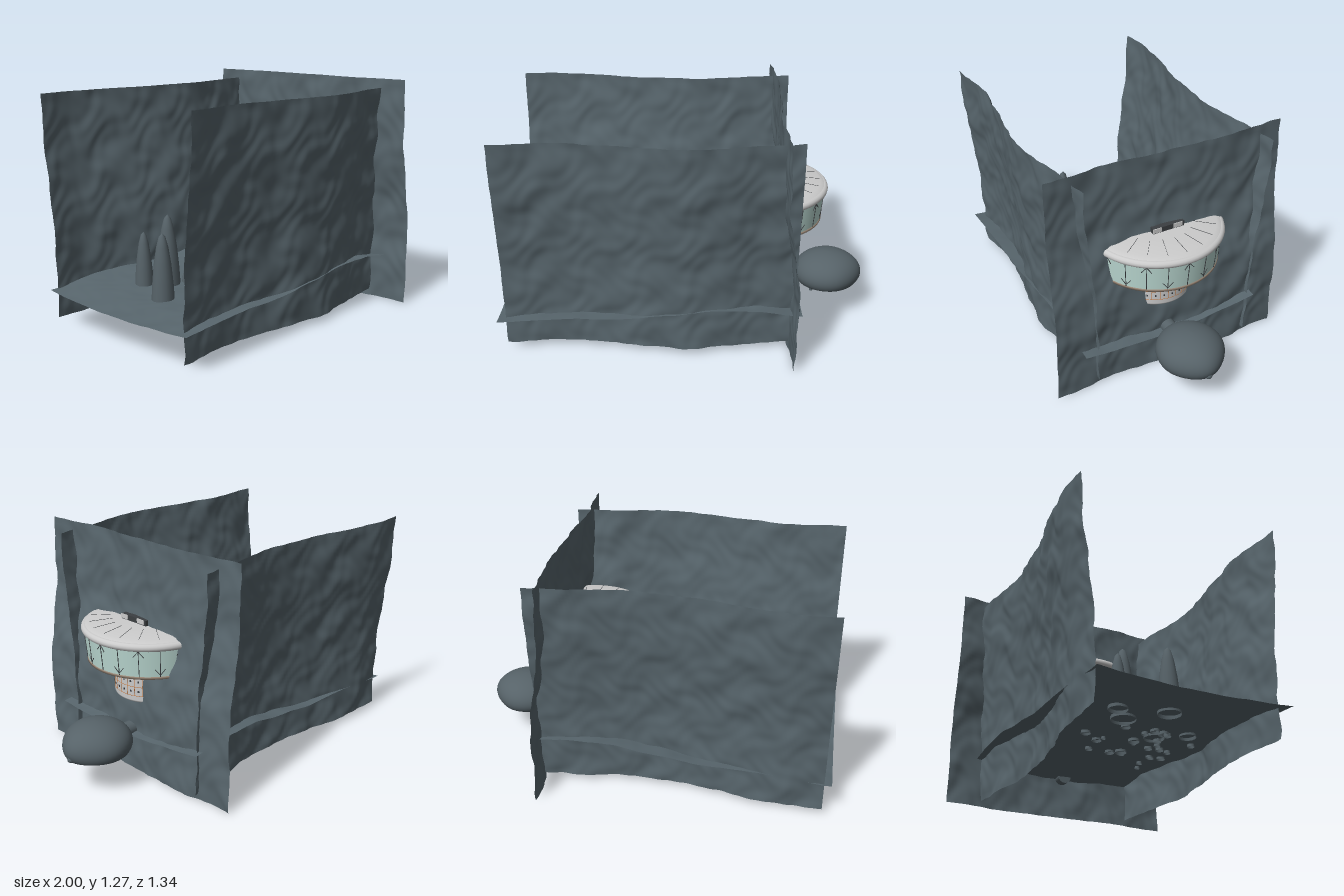
import * as THREE from 'three';

const mat = (color, extra = {}) => new THREE.MeshStandardMaterial({ color, ...extra });
const rock = mat(0x58666d, { side: THREE.DoubleSide });
const stone = mat(0x566268, { side: THREE.DoubleSide });
const grey = mat(0xcccccc, { side: THREE.DoubleSide });
const dark = mat(0x3c3f42);
const glass = mat(0xbcdad3, { side: THREE.DoubleSide });
const orange = mat(0xc8783c);

function add(parent, name, geo, material, x = 0, y = 0, z = 0) {
  const mesh = new THREE.Mesh(geo, material);
  mesh.name = name;
  mesh.position.set(x, y, z);
  parent.add(mesh);
  return mesh;
}

// Smooth interpolation through evenly spaced values, t in 0..1
function ramp(values, t) {
  const f = Math.min(Math.max(t, 0), 1) * (values.length - 1);
  const i = Math.min(Math.floor(f), values.length - 2);
  const k = f - i, s = k * k * (3 - 2 * k);
  return values[i] + (values[i + 1] - values[i]) * (0.5 * k + 0.5 * s);
}

// Rocky unevenness
const rough = (a, b) => 0.004 * (Math.sin(a * 21 + 2 * Math.sin(b * 13)) * Math.cos(b * 17 + Math.sin(a * 11)) + Math.sin(b * 25 + 2 * Math.sin(a * 15)))
  + 0.003 * Math.sin(a * 43 + 2 * Math.sin(b * 19)) * Math.sin(b * 47 + 2 * Math.sin(a * 23));

// Sheet of rock: place(u, v) gives a point for u, v in 0..1
function sheet(parent, name, place) {
  const geo = new THREE.PlaneGeometry(1, 1, 90, 70);
  const p = geo.attributes.position;
  for (let i = 0; i < p.count; i++) p.setXYZ(i, ...place(p.getX(i) + 0.5, p.getY(i) + 0.5));
  geo.computeVertexNormals();
  add(parent, name, geo, rock);
}

const floorY = (x, z) => ramp([0.195, 0.215, 0.225, 0.225, 0.25, 0.28, 0.28, 0.25], (x + 1) / 1.62)
  - 0.025 * Math.cos(z * 3) + (z < 0 ? -0.06 * z * (x + 1) / 1.62 : 0);

function canyon(g) {
  const lean = [0, 0.1, 0.2, 0.5, 0.85, 1];
  sheet(g, 'frontWall', (u, v) => [-0.96 + 1.55 * u, 0.035 + 1.185 * v,
    ramp([0.465, 0.445, 0.44, 0.46, 0.5, 0.515, 0.495, 0.45, 0.435], u) + 0.075 * ramp(lean, v) + rough(u * 1.5, v)]);
  sheet(g, 'backWall', (u, v) => [-0.96 + 1.55 * u, 0.035 + 1.185 * v,
    -ramp([0.49, 0.505, 0.48, 0.445, 0.415, 0.405, 0.42, 0.45, 0.475], u) - 0.083 * ramp(lean, v) + rough(u * 1.5 + 2, v)]);
  sheet(g, 'endWall', (u, v) => [
    ramp([0.567, 0.57, 0.575, 0.568, 0.532, 0.505, 0.5, 0.5], v) + 0.012 * Math.sin(u * 8 + 2.5) + rough(u * 1.3 + 5, v),
    1.27 * v, 0.67 - 1.34 * u]);
  sheet(g, 'floor', (u, v) => {
    const x = -1 + 1.62 * u, z = -0.505 + 1.03 * v;
    return [x, floorY(x, z) + 0.3 * rough(u * 1.6 + 1, v), z];
  });
}

// Round observation deck set into the end wall
function deck(g) {
  const d = new THREE.Group();
  d.name = 'observationDeck';
  d.position.set(0.41, 0, 0.02);
  g.add(d);
  const lathe = (name, pts, m) => add(d, name, new THREE.LatheGeometry(pts.map(p => new THREE.Vector2(...p)), 64), m);
  lathe('roof', [[0.35, 0.805], [0.32, 0.82], [0.2, 0.83], [0.001, 0.836]], grey);
  const rim = add(d, 'roofRim', new THREE.TorusGeometry(0.344, 0.021, 12, 64), grey, 0, 0.787, 0);
  rim.rotation.x = Math.PI / 2;
  lathe('windowBand', [[0.335, 0.625], [0.349, 0.775]], glass);
  lathe('sill', [[0.325, 0.612], [0.338, 0.614], [0.338, 0.627], [0.325, 0.627]], mat(0x9a8878, { side: THREE.DoubleSide }));
  lathe('underside', [[0.19, 0.582], [0.33, 0.614]], mat(0x808080, { side: THREE.DoubleSide }));
  lathe('stem', [[0.001, 0.415], [0.195, 0.42], [0.2, 0.43], [0.2, 0.585]], grey);

  // Window bars with alternating arrow heads, and roof seams
  for (let i = 0; i < 20; i++) {
    const spoke = new THREE.Group();
    spoke.name = 'windowBay';
    spoke.rotation.y = i * Math.PI / 10;
    d.add(spoke);
    const bar = add(spoke, 'windowBar', new THREE.BoxGeometry(0.003, 0.15, 0.003), dark, 0.343, 0.7, 0);
    bar.rotation.z = -0.093;
    const up = i % 2 === 0;
    for (const s of [-1, 1]) {
      const strut = add(spoke, 'barStrut', new THREE.BoxGeometry(0.003, 0.042, 0.003), dark,
        up ? 0.348 : 0.338, up ? 0.752 : 0.652, s * 0.013);
      strut.rotation.x = s * (up ? -0.7 : 0.7);
    }
    const seam = add(spoke, 'roofSeam', new THREE.BoxGeometry(0.12, 0.0015, 0.0015), dark, 0.26, 0.826, 0);
    seam.rotation.z = -0.083;
  }

  // Stem grid and portholes
  for (const y of [0.455, 0.505, 0.575]) {
    const band = add(d, 'stemBand', new THREE.TorusGeometry(0.2, 0.0015, 4, 48), orange, 0, y, 0);
    band.rotation.x = Math.PI / 2;
  }
  for (let i = 0; i < 28; i++) {
    const a = i * Math.PI / 14, b = a + Math.PI / 28;
    add(d, 'stemRib', new THREE.BoxGeometry(0.0025, 0.12, 0.0025), orange, 0.2 * Math.cos(b), 0.515, -0.2 * Math.sin(b)).rotation.y = b;
    for (const y of [0.48, 0.535]) {
      const port = add(d, 'porthole', new THREE.BoxGeometry(0.004, 0.01, 0.008), dark, 0.2 * Math.cos(a), y, -0.2 * Math.sin(a));
      port.rotation.y = a;
    }
  }

  // Rooftop hatch: dark frame with light end blocks and a light centre
  add(d, 'hatchBase', new THREE.BoxGeometry(0.27, 0.03, 0.18), dark, -0.005, 0.845, -0.01);
  for (const z of [0.058, -0.062])
    add(d, 'hatchEnd', new THREE.BoxGeometry(0.004, 0.024, 0.05), grey, 0.131, 0.848, z);
  add(d, 'hatch', new THREE.BoxGeometry(0.15, 0.012, 0.1), grey, 0.005, 0.858, -0.005);
  for (const s of [-1, 1]) add(d, 'hatchLamp', new THREE.SphereGeometry(0.012, 12, 8), grey, -s * 0.04, 0.863, s * 0.03);
}

// Domed pod outside the end wall
function pod(g) {
  const p = new THREE.Group();
  p.name = 'pod';
  p.position.set(0.81, 0.245, 0.02);
  g.add(p);
  // Rounded above, flattened below, narrowing towards the nose
  const geo = new THREE.SphereGeometry(1, 40, 28);
  const v = geo.attributes.position;
  for (let i = 0; i < v.count; i++) {
    const x = v.getX(i), y = v.getY(i), z = v.getZ(i);
    const taper = 1 - 0.22 * Math.max(0, x) ** 2;
    v.setXYZ(i, x * 0.19, y > 0 ? y * 0.123 : -0.052 * Math.min(1, -2.2 * y), z * 0.18 * taper);
  }
  geo.computeVertexNormals();
  add(p, 'podShell', geo, stone);
  const link = add(p, 'podLink', new THREE.CylinderGeometry(0.04, 0.04, 0.14, 20), stone, -0.22, -0.005, 0);
  link.rotation.z = Math.PI / 2;
  add(p, 'podNose', new THREE.SphereGeometry(0.02, 16, 10), stone, 0.17, -0.033, 0);
  for (const x of [-0.1, -0.04, 0.01, 0.06])
    for (const z of [-0.09, -0.07, 0.07, 0.105])
      add(p, 'podFoot', new THREE.CylinderGeometry(0.009, 0.009, 0.024, 10), stone, x, -0.06, z);
  add(p, 'podHatch', new THREE.BoxGeometry(0.05, 0.016, 0.04), dark, 0.02, -0.058, 0);
}

// Rock spires and boulders standing on the floor: x, z, radius
function spires(g) {
  const large = [[-0.69, 0.03, 0.06], [-0.61, -0.205, 0.05], [-0.51, -0.125, 0.065], [-0.36, 0.13, 0.055], [-0.435, 0.285, 0.045]];
  const small = [[-0.24, -0.2, 0.026], [-0.43, -0.07, 0.025], [-0.22, -0.09, 0.012], [-0.44, 0.09, 0.026], [-0.42, 0.15, 0.028],
    [-0.41, 0.18, 0.02], [-0.39, 0.06, 0.018], [-0.32, 0.17, 0.022], [-0.25, 0.21, 0.018], [-0.23, 0.08, 0.015],
    [-0.17, 0.2, 0.022], [-0.17, 0.27, 0.022], [-0.13, 0.34, 0.018], [-0.31, 0.38, 0.02], [0, 0.3, 0.02], [0.02, 0.32, 0.018],
    [0.01, 0.38, 0.024], [0.01, 0.06, 0.026], [0.02, -0.06, 0.02], [0.01, 0.13, 0.018], [0.17, 0.33, 0.016], [0.25, 0.36, 0.014]];
  const lamps = [[-0.16, -0.1, 0.026], [-0.27, 0.06, 0.03], [-0.035, 0.105, 0.032]];
  const profile = [[1, 0], [0.92, 0.25], [0.75, 0.55], [0.52, 0.8], [0.28, 0.95], [0.001, 1]].map(p => new THREE.Vector2(...p));
  const spire = (name, [x, z, r], h) => {
    const m = add(g, name, new THREE.LatheGeometry(profile, 14), stone, x, floorY(x, z) - 0.015, z);
    m.scale.set(r, h, r);
  };
  large.forEach(s => spire('spire', s, s[2] * 6));
  small.forEach(s => spire('smallSpire', s, s[2] * 4));
  for (const s of lamps) {
    const h = s[2] * 4;
    spire('lampSpire', s, h);
    const ring = add(g, 'spireRing', new THREE.TorusGeometry(s[2] * 0.75, 0.004, 6, 20), orange, s[0], floorY(s[0], s[1]) - 0.015 + h * 0.6, s[1]);
    ring.rotation.x = Math.PI / 2;
    add(g, 'spireLamp', new THREE.SphereGeometry(0.01, 12, 8), grey, s[0], floorY(s[0], s[1]) - 0.015 + h, s[1]);
  }
}

export function createModel() {
  const g = new THREE.Group();
  g.name = 'canyonOutpost';
  canyon(g);
  deck(g);
  pod(g);
  spires(g);
  return g;
}
